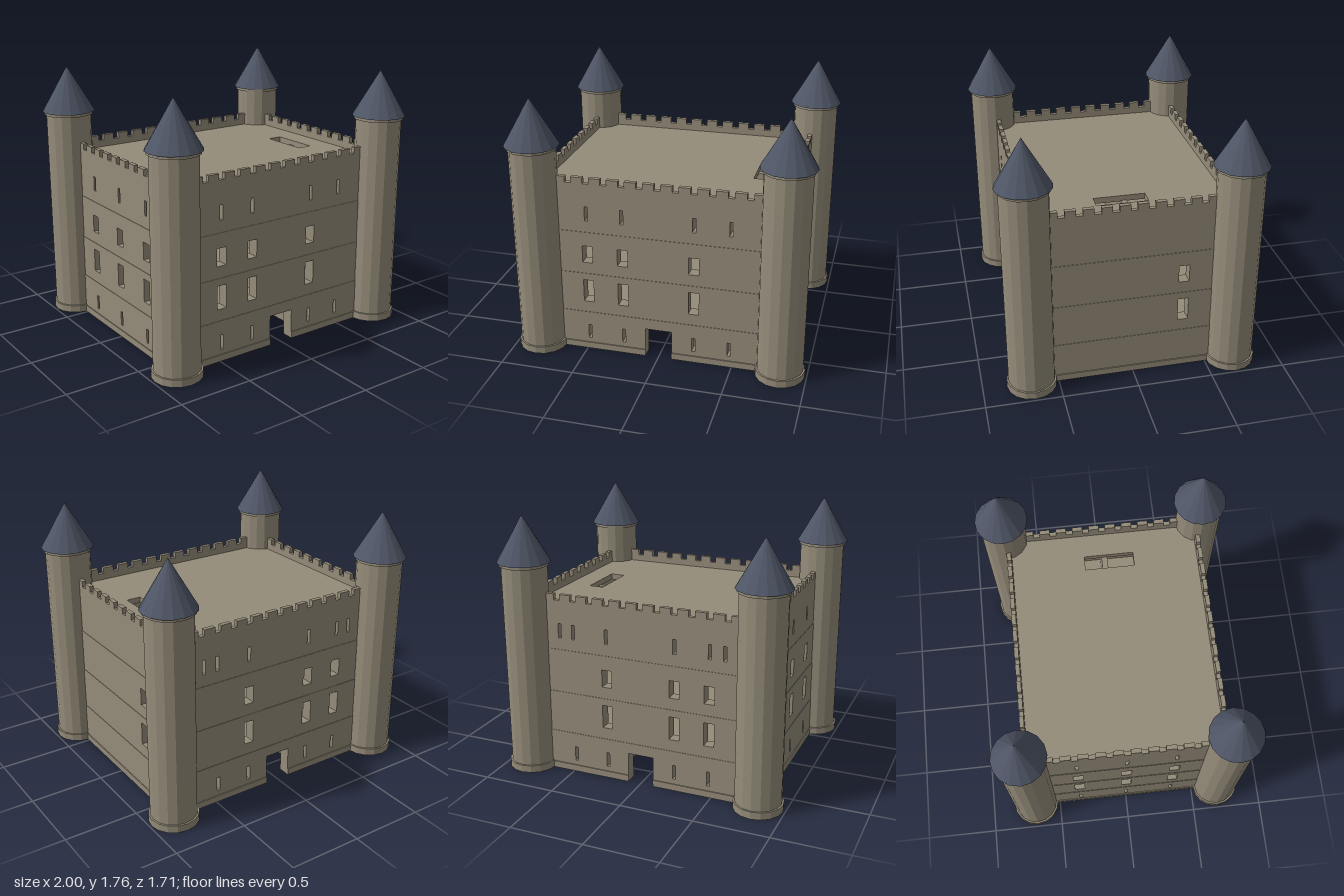
import * as THREE from 'three';

const stone = new THREE.MeshStandardMaterial({ color: 0x958c7a });
stone.name = 'stone';
stone.flatShading = true;
const slate = new THREE.MeshStandardMaterial({ color: 0x4f5666 });
slate.name = 'slate';
slate.flatShading = true;

const HX = 0.83, HZ = 0.68;          // half extents of the ground storey
const THICK = 0.08, SETBACK = 0.003; // wall thickness, step in per storey
const DECK = 1.16;
const LEVELS = [0, 0.28, 0.57, 0.87, DECK];

function add(parent, name, geometry, material, x = 0, y = 0, z = 0) {
  const mesh = new THREE.Mesh(geometry, material);
  mesh.name = name;
  mesh.position.set(x, y, z);
  parent.add(mesh);
  return mesh;
}

// box given by its limits
function block(parent, name, x0, x1, y0, y1, z0, z1) {
  return add(parent, name, new THREE.BoxGeometry(x1 - x0, y1 - y0, z1 - z0), stone,
    (x0 + x1) / 2, (y0 + y1) / 2, (z0 + z1) / 2);
}

function rect(x0, x1, y0, y1, Type) {
  const p = new Type();
  p.moveTo(x0, y0);
  p.lineTo(x1, y0);
  p.lineTo(x1, y1);
  p.lineTo(x0, y1);
  p.closePath();
  return p;
}

// opening rows per storey: height range and width
const ROWS = [
  { y: [0.08, 0.18], w: 0.022 },
  { y: [0.36, 0.52], w: 0.07 },
  { y: [0.65, 0.77], w: 0.07 },
  { y: [0.95, 1.05], w: 0.022 },
];

// one storey of a wall facing +z, with openings centred at the listed positions
function storeyWall(half, level, openings, door) {
  const y0 = LEVELS[level], y1 = LEVELS[level + 1];
  let shape;
  if (door && level === 0) {
    shape = new THREE.Shape([[-half, y0], [-0.09, y0], [-0.09, 0.205], [0.09, 0.205],
      [0.09, y0], [half, y0], [half, y1], [-half, y1]].map(p => new THREE.Vector2(...p)));
  } else {
    shape = rect(-half, half, y0, y1, THREE.Shape);
  }
  const row = ROWS[level];
  for (const u of openings) {
    shape.holes.push(rect(u - row.w / 2, u + row.w / 2, row.y[0], row.y[1], THREE.Path));
  }
  return new THREE.ExtrudeGeometry(shape, { depth: THICK, bevelEnabled: false });
}

// a complete side: plinth, four storeys, parapet and merlons
function side(name, angle, half, dist, openings, merlon, door) {
  const g = new THREE.Group();
  g.name = name;
  g.rotation.y = angle;
  for (let i = 0; i < 4; i++) {
    const inset = i * SETBACK;
    add(g, 'storeyWall', storeyWall(half - inset, i, openings[i], door), stone, 0, 0, dist - inset - THICK);
  }
  const spans = door ? [[-half, -0.09], [0.09, half]] : [[-half, half]];
  for (const [a, b] of spans) block(g, 'plinth', a, b, 0, 0.045, dist - 0.03, dist + 0.007);
  const out = dist - 3 * SETBACK, inn = out - 0.03, end = half - 3 * SETBACK;
  block(g, 'parapet', -end, end, DECK, 1.21, inn, out);
  for (let k = 0; k < merlon.count; k++) {
    for (const s of [-1, 1]) {
      const u = s * merlon.pitch * (k + 0.5);
      block(g, 'merlon', u - merlon.w / 2, u + merlon.w / 2, 1.21, 1.25, inn, out);
    }
  }
  return g;
}

function tower(x, z) {
  const g = new THREE.Group();
  g.name = 'cornerTower';
  g.position.set(x, 0, z);
  // hollow foot, shaft and collar in one profile
  const profile = [[0, 0.1], [0.125, 0.1], [0.125, 0], [0.165, 0], [0.165, 0.05], [0.153, 0.05],
    [0.153, 1.43], [0.165, 1.43], [0.165, 1.456], [0, 1.456]].map(p => new THREE.Vector2(...p));
  add(g, 'towerShaft', new THREE.LatheGeometry(profile, 16), stone);
  add(g, 'towerRoof', new THREE.ConeGeometry(0.178, 0.31, 16), slate, 0, 1.605, 0);
  return g;
}

export function createModel() {
  const model = new THREE.Group();
  model.name = 'castle';

  // outer walls
  const slits = [-0.48, -0.24, 0.24, 0.48];
  const wide = [-0.48, -0.24, 0.24];
  const wideBack = wide.map(u => -u);
  const long = { count: 6, pitch: 0.119, w: 0.077 };
  const short = { count: 5, pitch: 0.114, w: 0.07 };
  const three = [-0.335, 0, 0.335];
  model.add(
    side('frontWall', 0, HX, HZ, [slits, wide, wide, slits], long, true),
    side('backWall', Math.PI, HX, HZ, [slits, wideBack, wideBack, [...slits, -0.58, 0.58]], long, true),
    side('rightWall', Math.PI / 2, HZ, HX, [[], [0.335], [0.335], []], short, false),
    side('leftWall', -Math.PI / 2, HZ, HX, [three, three, three, three], short, false),
  );

  // roof deck with a stair opening
  const deck = rect(-0.8, 0.8, -0.65, 0.65, THREE.Shape);
  deck.holes.push(rect(0.53, 0.63, -0.2, 0.14, THREE.Path));
  const deckGeo = new THREE.ExtrudeGeometry(deck, { depth: 0.04, bevelEnabled: false });
  deckGeo.rotateX(-Math.PI / 2);
  add(model, 'roofDeck', deckGeo, stone, 0, DECK - 0.035, 0);

  // inner floors and cross walls
  for (const y of LEVELS.slice(1, 4)) block(model, 'innerFloor', -0.78, 0.78, y - 0.04, y, -0.63, 0.63);
  block(model, 'spineWall', -0.76, 0.76, 0.27, 1.13, -0.02, 0.02);
  block(model, 'crossWall', -0.02, 0.02, 0.27, 1.13, -0.61, 0.61);

  // ground-floor partitions, and the wall closing the entrance passage
  for (const x of [-0.48, -0.24, 0.24, 0.48]) {
    block(model, 'partition', x - 0.035, x + 0.035, 0.01, 0.25, -0.61, 0.61);
  }
  block(model, 'passageWall', -0.22, 0.22, 0.01, 0.25, -0.03, 0.03);

  // corner towers
  for (const x of [-0.822, 0.822]) for (const z of [-0.677, 0.677]) model.add(tower(x, z));

  return model;
}
